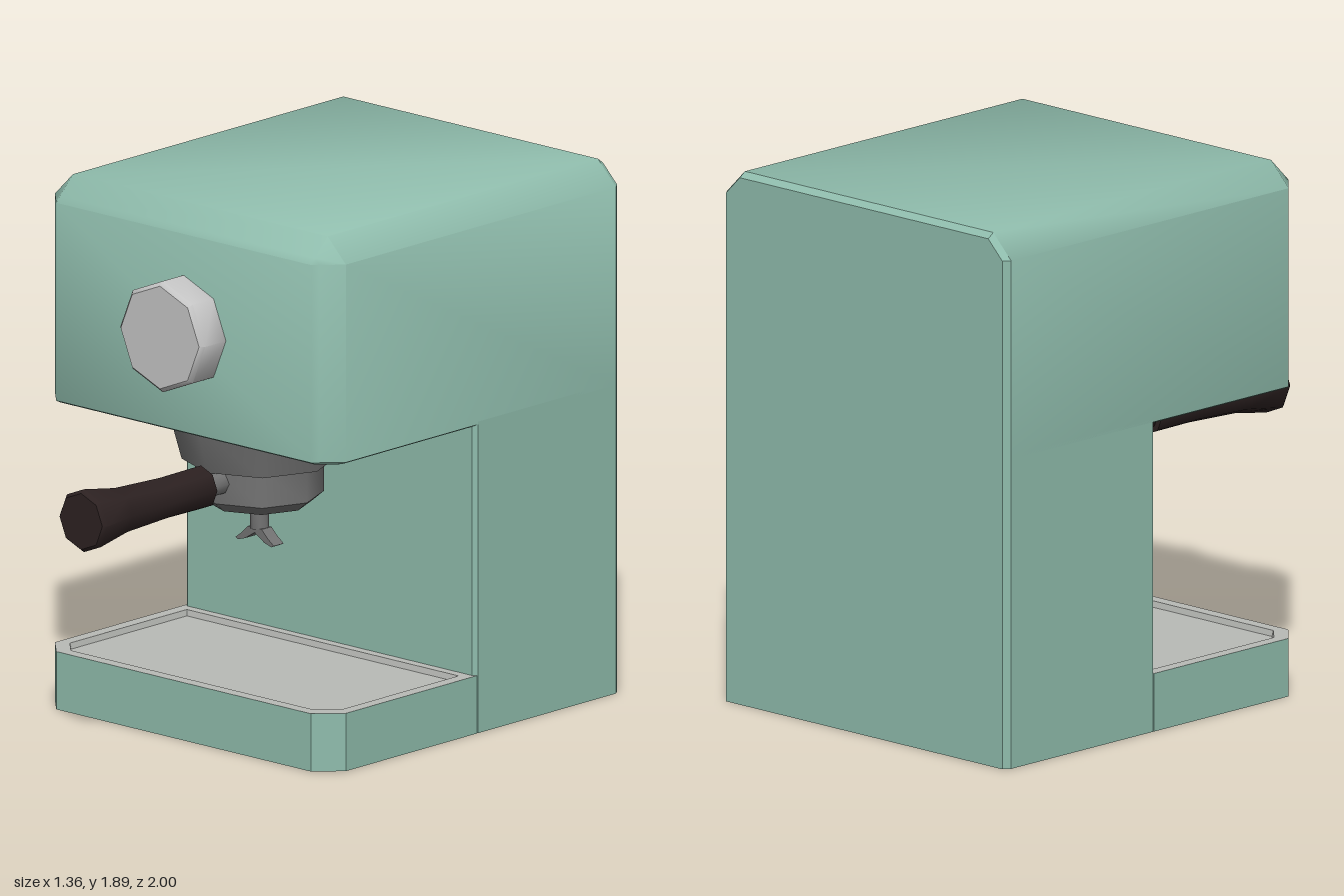
import * as THREE from 'three';
import { toCreasedNormals } from 'three/addons/utils/BufferGeometryUtils.js';

const material = (name, color) => {
  const m = new THREE.MeshStandardMaterial({ color });
  m.name = name;
  return m;
};

// Joins counter-clockwise sections [z, points] running along z, with optional flat ends.
function loft(sections, { start = true, end = true, crease = 0.4 } = {}) {
  const n = sections[0][1].length;
  const positions = [];
  const index = [];
  sections.forEach(([z, pts]) => pts.forEach(([x, y]) => positions.push(x, y, z)));
  for (let i = 0; i < sections.length - 1; i++) {
    for (let j = 0; j < n; j++) {
      const a = i * n + j, b = i * n + (j + 1) % n;
      index.push(a, b, b + n, a, b + n, a + n);
    }
  }
  const last = (sections.length - 1) * n;
  for (let j = 1; j < n - 1; j++) {
    if (start) index.push(0, j + 1, j);
    if (end) index.push(last, last + j, last + j + 1);
  }
  const g = new THREE.BufferGeometry();
  g.setAttribute('position', new THREE.Float32BufferAttribute(positions, 3));
  g.setIndex(index);
  return toCreasedNormals(g, crease);
}

// Eight-sided turned part from [radius, height] points, listed bottom to top.
function turned(points) {
  const g = new THREE.LatheGeometry(points.map(([r, y]) => new THREE.Vector2(r, y)), 8);
  return toCreasedNormals(g, 0.82);
}

export function createModel() {
  const model = new THREE.Group();
  model.name = 'espressoMachine';
  const green = material('sage green enamel', 0x8fbcac);
  const silver = material('light grey metal', 0xc4c4c4);
  const trayGrey = material('tray grey', 0xb8bab6);
  const steel = material('dark grey metal', 0x737373);
  const dark = material('dark brown handle', 0x2c2121);

  const add = (name, geometry, mat, parent = model) => {
    const mesh = new THREE.Mesh(geometry, mat);
    mesh.name = name;
    parent.add(mesh);
    return mesh;
  };

  const W = 0.68, H = 1.89, C = 0.085;

  // Cross-section of the housing with chamfered top edges
  const housing = (inset, bottom, foot = 0, rise = 0) => {
    const x = W - inset;
    const right = [[x - foot, bottom], [x, bottom + rise], [x, H - C], [W - C, H - inset]];
    return [...right, ...right.map(([px, py]) => [-px, py]).reverse()];
  };

  // Head: chamfered front, thin bevel below
  add('head', loft([
    [-0.975, housing(0, 1.09, 0.02, 0.01)],
    [0.395, housing(0, 1.09, 0.02, 0.01)],
    [0.46, housing(0.065, 1.09, 0.02, 0.01)],
    [0.48, housing(0.085, 1.1)],
  ], { crease: 0.9, start: false }), green);

  // Back panel with a narrow bevel
  add('backPanel', loft([
    [-1, housing(0.018, 0)],
    [-0.975, housing(0, 0)],
  ], { end: false }), green);

  // Column between base and head
  const rect = (w) => [[w, 0], [w, 1.11], [-w, 1.11], [-w, 0]];
  add('column', loft([
    [-0.975, rect(W)], [-0.275, rect(W)], [-0.26, rect(W - 0.015)],
  ], { start: false }), green);

  // Base and drip tray share a plan outline with cut front corners
  const plan = (i) => {
    const c = C - i * 0.4, x = W - i, front = 0.48 - i, back = -0.27 + i;
    return [[x, -back], [-x, -back], [-x, -front + c], [-x + c, -front], [x - c, -front], [x, -front + c]];
  };
  add('base', loft([[0, plan(0)], [0.206, plan(0)]], { end: false }), green).rotation.x = -Math.PI / 2;
  add('dripTray', loft([
    [0.206, plan(0)], [0.206, plan(0.045)], [0.185, plan(0.05)],
  ], { start: false }), trayGrey).rotation.x = -Math.PI / 2;

  // Front dial
  const dial = add('dial', turned([[0.198, 0], [0.198, 0.105], [0.183, 0.12], [0, 0.12]]), silver);
  dial.rotation.x = Math.PI / 2;
  dial.position.set(0, 1.46, 0.48);

  // Brewing group under the head
  const brew = new THREE.Group();
  brew.name = 'brewGroup';
  brew.position.z = 0.095;
  model.add(brew);
  add('groupHead', turned([[0, 0.93], [0.268, 0.93], [0.312, 1.095]]), steel, brew);
  add('filterBasket', turned([[0, 0.775], [0.18, 0.775], [0.222, 0.81], [0.222, 0.935]]), steel, brew);
  add('spoutStem', turned([[0, 0.672], [0.033, 0.68], [0.033, 0.78]]), steel, brew);

  // Forked spout, drawn as one half and mirrored
  const half = [[0.09, 0.636], [0.06, 0.658], [0.033, 0.685]];
  const under = [[0, 0.668], [0.045, 0.64], [0.078, 0.63]];
  const outline = [
    ...under, ...half,
    ...half.map(([x, y]) => [-x, y]).reverse(),
    ...under.slice(1).map(([x, y]) => [-x, y]).reverse(),
  ].map(([x, y]) => new THREE.Vector2(x, y));
  const fork = new THREE.ExtrudeGeometry(new THREE.Shape(outline), { depth: 0.05, bevelEnabled: false });
  add('spoutFork', fork, steel, brew).position.z = -0.025;

  // Portafilter handle pointing forward
  const grip = new THREE.Group();
  grip.name = 'portafilter';
  grip.position.y = 0.885;
  grip.rotation.x = Math.PI / 2;
  model.add(grip);
  add('neck', turned([[0.046, 0.27], [0.046, 0.385]]), steel, grip);
  add('handle', turned([
    [0, 0.375], [0.058, 0.375], [0.058, 0.39], [0.077, 0.392], [0.075, 0.6],
    [0.085, 0.83], [0.112, 0.985], [0.1, 1], [0, 1],
  ]), dark, grip);

  return model;
}
